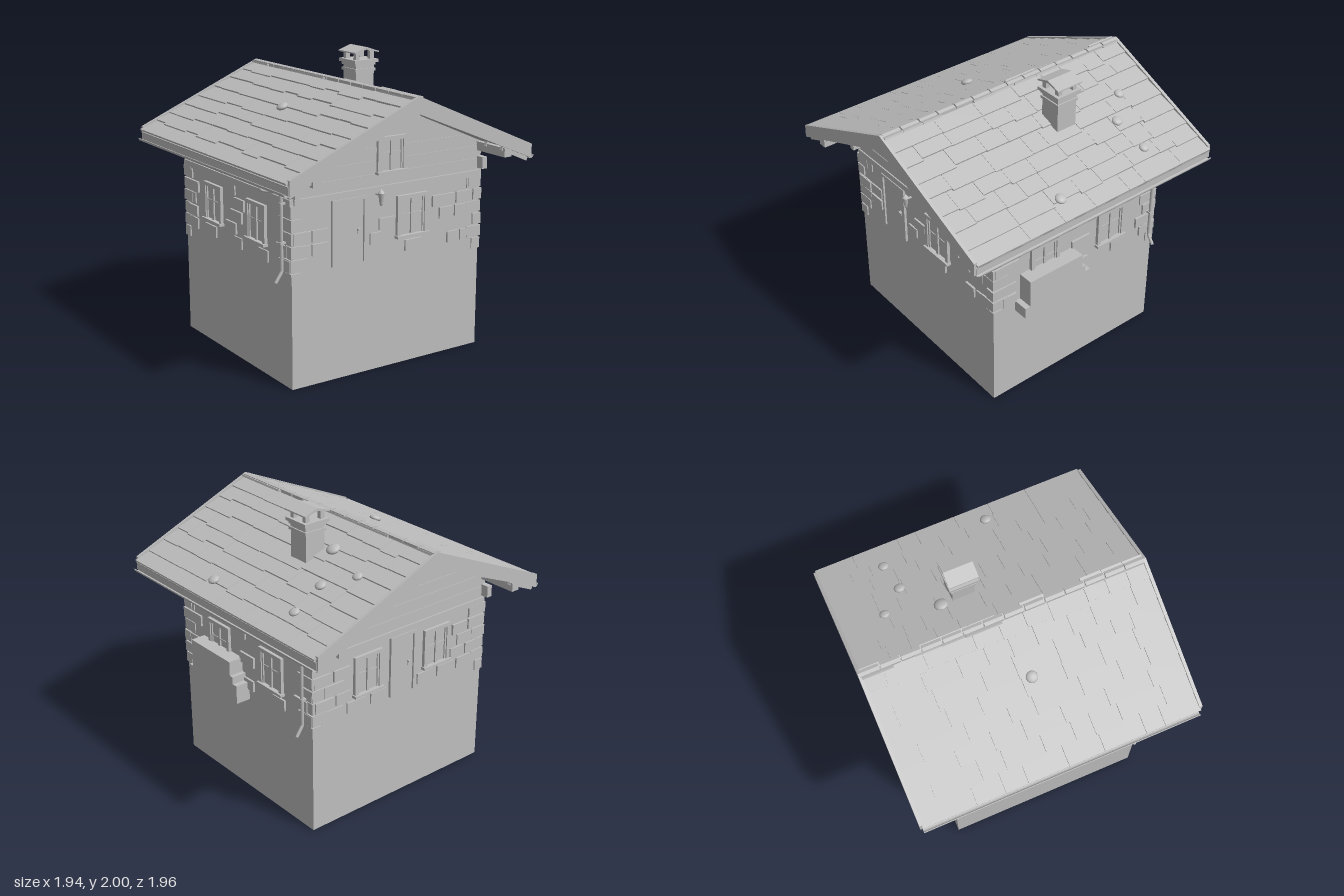
import * as THREE from 'three';

const stone = new THREE.MeshStandardMaterial({ color: 0xbebebe });
stone.name = 'plain grey';

const SLOPE = 0.43, ANGLE = Math.atan(SLOPE), HALF_X = 0.745, HALF_Z = 0.69;
let seed = 7;
const rand = () => (seed = (seed * 16807) % 2147483647) / 2147483647;

function add(parent, name, geometry, x = 0, y = 0, z = 0) {
  const mesh = new THREE.Mesh(geometry, stone);
  mesh.name = name;
  mesh.position.set(x, y, z);
  parent.add(mesh);
  return mesh;
}

// Box given by its limits on each axis
function block(parent, name, x0, x1, y0, y1, z0, z1) {
  return add(parent, name, new THREE.BoxGeometry(x1 - x0, y1 - y0, z1 - z0), (x0 + x1) / 2, (y0 + y1) / 2, (z0 + z1) / 2);
}

function prism(parent, name, points, depth, z) {
  const shape = new THREE.Shape(points.map(([x, y]) => new THREE.Vector2(x, y)));
  return add(parent, name, new THREE.ExtrudeGeometry(shape, { depth, bevelEnabled: false }), 0, 0, z);
}

function group(parent, name) {
  const g = new THREE.Group();
  g.name = name;
  parent.add(g);
  return g;
}

// Framed window with two casements and a sill, centred on x
function addWindow(wall, x, y0, y1, w) {
  const g = group(wall, 'window');
  const a = x - w / 2, b = x + w / 2, t = 0.026;
  block(g, 'pane', a + t, b - t, y0, y1 - t, 0, 0.005);
  block(g, 'frameLeft', a, a + t, y0, y1, 0, 0.022);
  block(g, 'frameRight', b - t, b, y0, y1, 0, 0.022);
  block(g, 'frameTop', a + t, b - t, y1 - t, y1, 0, 0.022);
  block(g, 'mullion', x - 0.011, x + 0.011, y0, y1 - t, 0, 0.016);
  for (const s of [-1, 1]) {
    const c = x + s * (w / 2 - t - 0.006);
    block(g, 'casement', c - 0.006, c + 0.006, y0, y1 - t, 0, 0.014);
  }
  block(g, 'glazingBar', a + t, b - t, y0 + (y1 - y0) * 0.5, y0 + (y1 - y0) * 0.5 + 0.009, 0, 0.01);
  block(g, 'sill', a - 0.008, b + 0.008, y0 - 0.018, y0, 0, 0.036);
}

function addDoor(wall, x, w) {
  const g = group(wall, 'door');
  block(g, 'doorLeaf', x - w / 2 + 0.018, x + w / 2 - 0.018, 0.76, 1.17, 0, 0.005);
  block(g, 'doorFrameLeft', x - w / 2, x - w / 2 + 0.018, 0.76, 1.19, 0, 0.018);
  block(g, 'doorFrameRight', x + w / 2 - 0.018, x + w / 2, 0.76, 1.19, 0, 0.018);
  block(g, 'doorFrameTop', x - w / 2 + 0.018, x + w / 2 - 0.018, 1.17, 1.19, 0, 0.018);
  block(g, 'doorPlate', x + w / 2 - 0.06, x + w / 2 - 0.05, 0.945, 0.985, 0, 0.009);
  block(g, 'doorHandle', x + w / 2 - 0.065, x + w / 2 - 0.045, 0.97, 0.98, 0, 0.022);
}

// Raised stones: [row, x0, x1], rows counted up from the plinth
function addStones(wall, list) {
  for (const [row, x0, x1] of list) {
    const y = 0.77 + row * 0.088;
    block(wall, 'wallStone', x0, x1, y, y + 0.075, -0.01, 0.008 + rand() * 0.008);
  }
}

// Wall frame whose local +z points outwards
function wallGroup(house, name, turn, offset) {
  const g = group(house, name);
  g.rotation.y = turn;
  g.position.set(Math.sin(turn) * offset, 0, Math.cos(turn) * offset);
  return g;
}

function addBoards(wall, half, gable) {
  block(wall, 'sillBeam', -half, half, 1.19, 1.235, -0.01, 0.012);
  const width = y => gable ? Math.min(half, (1.745 - y) / SLOPE) : half;
  for (let i = 0; i < (gable ? 3 : 2); i++) {
    const y0 = 1.237 + i * 0.085, y1 = y0 + 0.08;
    prism(wall, 'wallBoard', [[-width(y0), y0], [width(y0), y0], [width(y1), y1], [-width(y1), y1]], 0.005, 0);
  }
}

// One roof pitch, built in a frame that runs down the slope along +x
function addPitch(house, turn) {
  const side = group(house, 'roofPitch');
  side.rotation.y = turn;
  const g = group(side, 'roofSlope');
  g.position.y = 1.805;
  g.rotation.z = -ANGLE;
  block(g, 'roofDeck', 0, 1.025, -0.05, 0, -0.965, 0.965);
  for (let row = 0; row < 8; row++) {
    let z = -0.965;
    while (z < 0.965) {
      let len = 0.13 + rand() * 0.2;
      if (0.965 - z - len < 0.1) len = 0.965 - z;
      const low = 0.125 + row * 0.129 + (row < 7 ? (rand() - 0.5) * 0.03 : 0);
      const tile = block(g, 'roofShingle', -0.08, 0.08, 0, 0.014, z + 0.001, z + len - 0.001);
      tile.position.set(low - 0.08, 0.012, z + len / 2);
      tile.rotation.z = 0.08;
      z += len;
    }
  }
  for (const s of [-1, 1]) {
    prism(side, 'bargeBoard', [[0, 1.73], [0.935, 1.345], [0.935, 1.438], [0, 1.84]], 0.022, s * 0.969 - 0.011);
    block(side, 'purlinEnd', 0.715, 0.755, 1.25, 1.33, s * 0.72 - 0.03, s * 0.72 + 0.03);
    block(side, 'wallPlate', 0.71, 0.77, 1.37, 1.43, s * 0.83 - 0.14, s * 0.83 + 0.14);
  }
  block(side, 'fascia', 0.92, 0.938, 1.345, 1.40, -0.965, 0.965);
  // Open half-round gutter
  const bowl = new THREE.Shape();
  bowl.absarc(0, 0, 0.024, Math.PI, Math.PI * 2, false);
  bowl.absarc(0, 0, 0.018, Math.PI * 2, Math.PI, true);
  add(side, 'gutter', new THREE.ExtrudeGeometry(bowl, { depth: 1.93, bevelEnabled: false, curveSegments: 6 }), 0.944, 1.36, -0.965);
  for (let i = -6; i <= 6; i++) {
    const tail = block(side, 'rafterTail', -0.12, 0.12, -0.018, 0.018, i * 0.157 - 0.011, i * 0.157 + 0.011);
    tail.position.set(0.815, 1.385, i * 0.157);
    tail.rotation.z = -ANGLE;
  }
  // Downpipe from the gutter to a kicked-out foot
  const path = new THREE.CurvePath();
  const pts = [[0.945, 1.335], [0.915, 1.31], [0.78, 1.275], [0.78, 0.77], [0.825, 0.705]].map(([x, y]) => new THREE.Vector3(x, y, -0.63));
  for (let i = 0; i < 4; i++) path.add(new THREE.LineCurve3(pts[i], pts[i + 1]));
  add(side, 'downpipe', new THREE.TubeGeometry(path, 60, 0.011, 8));
  for (const y of [0.95, 1.2]) block(side, 'pipeClip', 0.74, 0.794, y, y + 0.012, -0.644, -0.616);
}

function addChimney(house) {
  const g = group(house, 'chimney');
  g.position.set(0.348, 0, -0.162);
  const ring = (name, r, y0, y1) => block(g, name, -r, r, y0, y1, -r, r);
  ring('chimneyShaft', 0.076, 1.58, 1.87);
  ring('chimneyLowerBand', 0.085, 1.83, 1.85);
  ring('chimneyUpperBand', 0.098, 1.89, 1.912);
  ring('chimneyNeck', 0.085, 1.87, 1.89);
  for (const x of [-0.06, 0.06]) for (const z of [-0.06, 0.06])
    block(g, 'capPost', x - 0.016, x + 0.016, 1.91, 1.97, z - 0.016, z + 0.016);
  prism(g, 'chimneyCap', [[-0.1, 1.958], [0, 1.982], [0.1, 1.958], [0.1, 1.967], [0, 2], [-0.1, 1.967]], 0.2, -0.1);
}

export function createModel() {
  const house = new THREE.Group();
  house.name = 'house';

  // Plinth and walls up to the gable
  block(house, 'plinth', -HALF_X, HALF_X, 0, 0.76, -HALF_Z, HALF_Z);
  prism(house, 'walls', [[-HALF_X, 0.76], [HALF_X, 0.76], [HALF_X, 1.43], [0, 1.755], [-HALF_X, 1.43]], HALF_Z * 2, -HALF_Z);

  const front = wallGroup(house, 'frontWall', 0, HALF_Z);
  const right = wallGroup(house, 'leftSideWall', Math.PI / 2, HALF_X);
  const back = wallGroup(house, 'backWall', Math.PI, HALF_Z);
  const left = wallGroup(house, 'rightSideWall', -Math.PI / 2, HALF_X);
  for (const w of [front, back]) addBoards(w, 0.73, true);
  for (const w of [left, right]) addBoards(w, 0.69, false);

  addDoor(front, -0.325, 0.26);
  addWindow(front, 0.17, 0.885, 1.15, 0.245);
  addWindow(front, 0, 1.33, 1.55, 0.225);
  addDoor(back, 0, 0.22);
  for (const x of [-0.3, 0.3]) addWindow(back, x, 0.885, 1.15, 0.23);
  for (const w of [left, right]) for (const x of [-0.28, 0.285]) addWindow(w, x, 0.89, 1.14, 0.235);

  addStones(front, [[4, -0.69, -0.58], [2, -0.74, -0.61], [2, -0.6, -0.48], [1, -0.74, -0.61], [1, -0.6, -0.48],
    [2, -0.09, 0.03], [1, -0.16, -0.07], [0, 0.12, 0.25], [3, 0.34, 0.52], [3, 0.54, 0.66], [2, 0.4, 0.51],
    [2, 0.53, 0.65], [0, 0.47, 0.56], [0, 0.58, 0.72], [4, 0.64, 0.74]]);
  const sideStones = [[4, -0.68, -0.6], [3, -0.68, -0.49], [1, -0.63, -0.51], [0, -0.62, -0.51], [4, -0.09, 0.01],
    [2, -0.05, 0.1], [0, -0.01, 0.09], [3, 0.55, 0.69], [2, 0.58, 0.69], [1, 0.52, 0.65], [0, 0.3, 0.42], [0, 0.56, 0.69]];
  addStones(right, sideStones);
  addStones(left, [...sideStones, [0, -0.4, -0.25], [1, -0.12, 0.02], [3, 0.0, 0.13], [2, -0.66, -0.54]]);
  for (const s of [-1, 1])
    addStones(back, [[4, 0.6, 0.72], [3, 0.45, 0.58], [3, 0.6, 0.74], [2, 0.5, 0.66], [1, 0.44, 0.56], [1, 0.58, 0.73],
      [0, 0.5, 0.68], [0, 0.32, 0.47], [0, 0.14, 0.27]].map(([r, a, b]) => s > 0 ? [r, a, b] : [r, -b, -a]));

  // Small uneven quoins on the four corners
  for (const sx of [-1, 1]) for (const sz of [-1, 1]) for (let i = 0; i < 6; i++) {
    const r = 0.006 + rand() * 0.006, w = i % 2 ? 0.06 : 0.035, y = 0.69 + i * 0.086;
    const q = block(house, 'cornerStone', -w, w, y, y + 0.075, -w, w);
    q.position.x = sx * (HALF_X + r - w);
    q.position.z = sz * (HALF_Z + r - w);
  }

  // Stacked block against the side wall
  const pile = prism(house, 'sidePile', [[-0.515, 0.69], [0.03, 0.69], [0.03, 0.82], [-0.01, 0.82], [-0.01, 0.87],
    [-0.04, 0.87], [-0.04, 0.97], [-0.475, 0.97], [-0.475, 0.77], [-0.515, 0.77]], 0.115, 0);
  pile.rotation.y = Math.PI / 2;
  pile.position.x = 0.735;

  // Lantern beside the door
  const lamp = group(front, 'lantern');
  lamp.position.set(-0.11, 0, 0.055);
  add(lamp, 'lanternBody', new THREE.CylinderGeometry(0.02, 0.011, 0.07, 6), 0, 1.165, 0);
  add(lamp, 'lanternCap', new THREE.ConeGeometry(0.023, 0.03, 6), 0, 1.215, 0);
  add(lamp, 'lanternFoot', new THREE.CylinderGeometry(0.011, 0.005, 0.014, 6), 0, 1.124, 0);
  block(lamp, 'lanternArm', -0.005, 0.005, 1.18, 1.19, -0.055, 0);

  // Roof, ridge and chimney
  addPitch(house, 0);
  addPitch(house, Math.PI);
  block(house, 'ridgeBeam', -0.025, 0.025, 1.71, 1.78, -0.955, 0.955);
  for (let i = 0; i < 14; i++) {
    const z = -0.97 + i * 0.1386;
    prism(house, 'ridgeCap', [[-0.022, 1.8], [0.022, 1.8], [0.022, 1.835], [0, 1.842], [-0.022, 1.835]], 0.13, z);
  }
  addChimney(house);

  // Weighting stones resting on the shingles
  for (const [x, z, r] of [[0.37, -0.67, 0.034], [0.53, -0.51, 0.037], [0.76, -0.54, 0.035], [0.27, -0.32, 0.047],
    [-0.39, 0.02, 0.04], [0.82, 0.22, 0.038]]) {
    const rock = add(house, 'roofStone', new THREE.SphereGeometry(r, 16, 10), x, 1.842 - SLOPE * Math.abs(x), z);
    rock.scale.y = 0.5;
    rock.rotation.z = -Math.sign(x) * ANGLE;
  }
  return house;
}
